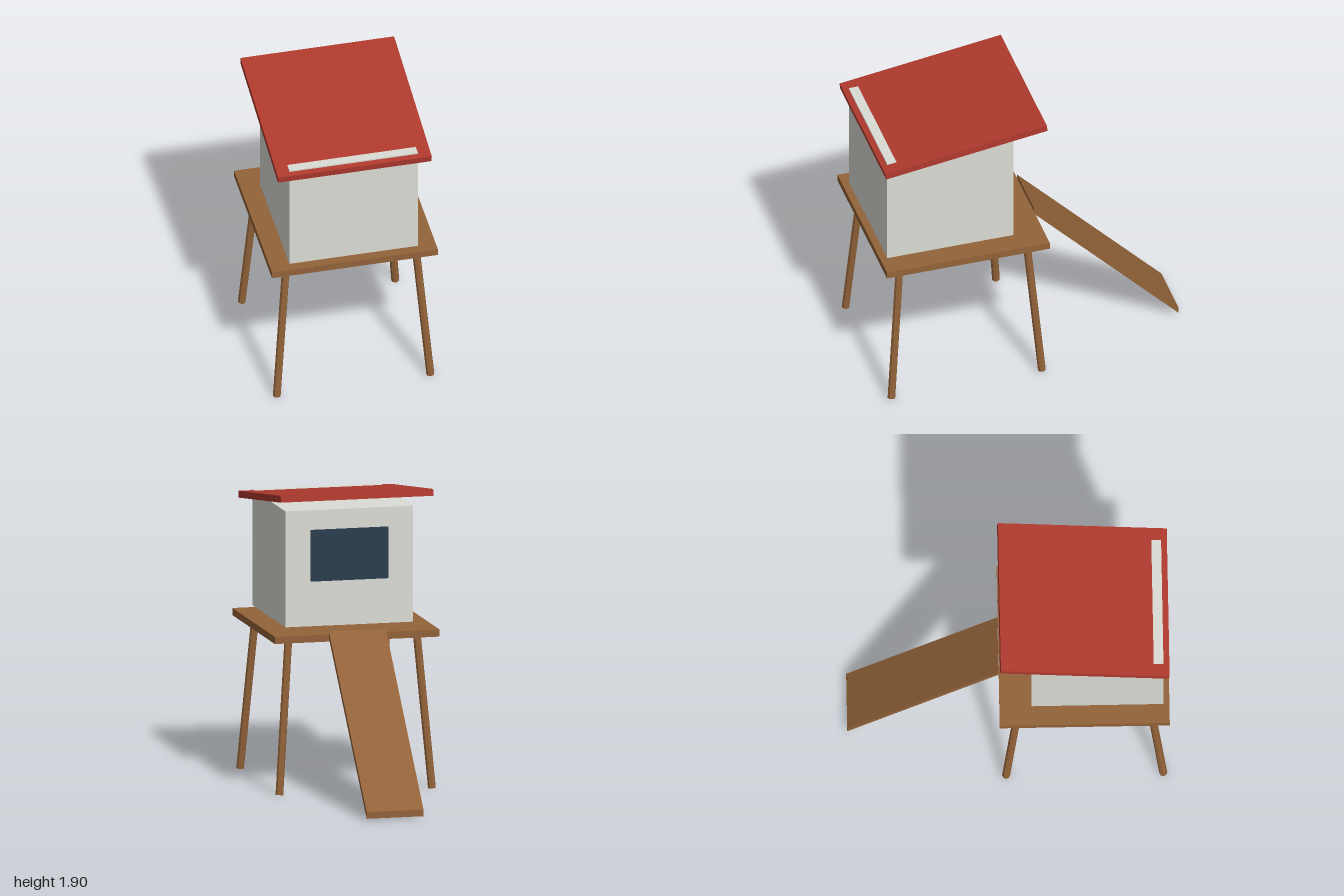
import * as THREE from 'three';

export function createModel() {
  const model = new THREE.Group();
  model.name = 'raisedCabin';

  const flat = (name, color) => {
    const m = new THREE.MeshStandardMaterial({ color });
    m.name = name;
    m.flatShading = true;
    return m;
  };
  const wood = flat('brownWood', 0x936339);
  const wall = flat('paleWall', 0xdcdcd6);
  const red = flat('redRoof', 0xb03a2e);
  const glass = flat('darkGlass', 0x2c3e50);

  const add = (name, geometry, material, x = 0, y = 0, z = 0) => {
    const mesh = new THREE.Mesh(geometry, material);
    mesh.name = name;
    mesh.position.set(x, y, z);
    model.add(mesh);
    return mesh;
  };

  const midZ = 0.471;

  // Deck
  add('deck', new THREE.BoxGeometry(1.058, 0.045, 1.058), wood, 0, 0.987, midZ);

  // Four splayed legs
  const up = new THREE.Vector3(0, 1, 0);
  for (const sx of [-1, 1]) {
    for (const sz of [-1, 1]) {
      const foot = new THREE.Vector3(sx * 0.49, 0.003, midZ + sz * 0.489);
      const head = new THREE.Vector3(sx * 0.412, 0.975, midZ + sz * 0.411);
      const axis = head.clone().sub(foot);
      const leg = add('leg', new THREE.CylinderGeometry(0.025, 0.025, axis.length(), 8), wood);
      leg.position.copy(foot).add(head).multiplyScalar(0.5);
      leg.quaternion.setFromUnitVectors(up, axis.normalize());
    }
  }

  // Cabin, standing just clear of the deck
  add('cabin', new THREE.BoxGeometry(0.82, 0.733, 0.82), wall, 0, 1.396, 0.553);

  // Window plate on the back wall
  add('window', new THREE.BoxGeometry(0.5, 0.325, 0.03), glass, 0, 1.476, 0.145);

  // Single-pitch roof, rising to the back
  const roof = add('roof', new THREE.BoxGeometry(0.98, 0.043, 1.06), red, 0, 1.802, 0.472);
  roof.rotation.x = THREE.MathUtils.degToRad(8.1);

  // Ramp: a sloping plank with upright ends
  const profile = new THREE.Shape([
    new THREE.Vector2(0.06, 0.987),
    new THREE.Vector2(1.0, 0.008),
    new THREE.Vector2(1.0, 0.051),
    new THREE.Vector2(0.06, 1.03),
  ]);
  const plank = new THREE.ExtrudeGeometry(profile, { depth: 0.365, bevelEnabled: false });
  plank.translate(0, 0, -0.1825);
  plank.rotateY(Math.PI / 2);
  add('ramp', plank, wood);

  return model;
}
